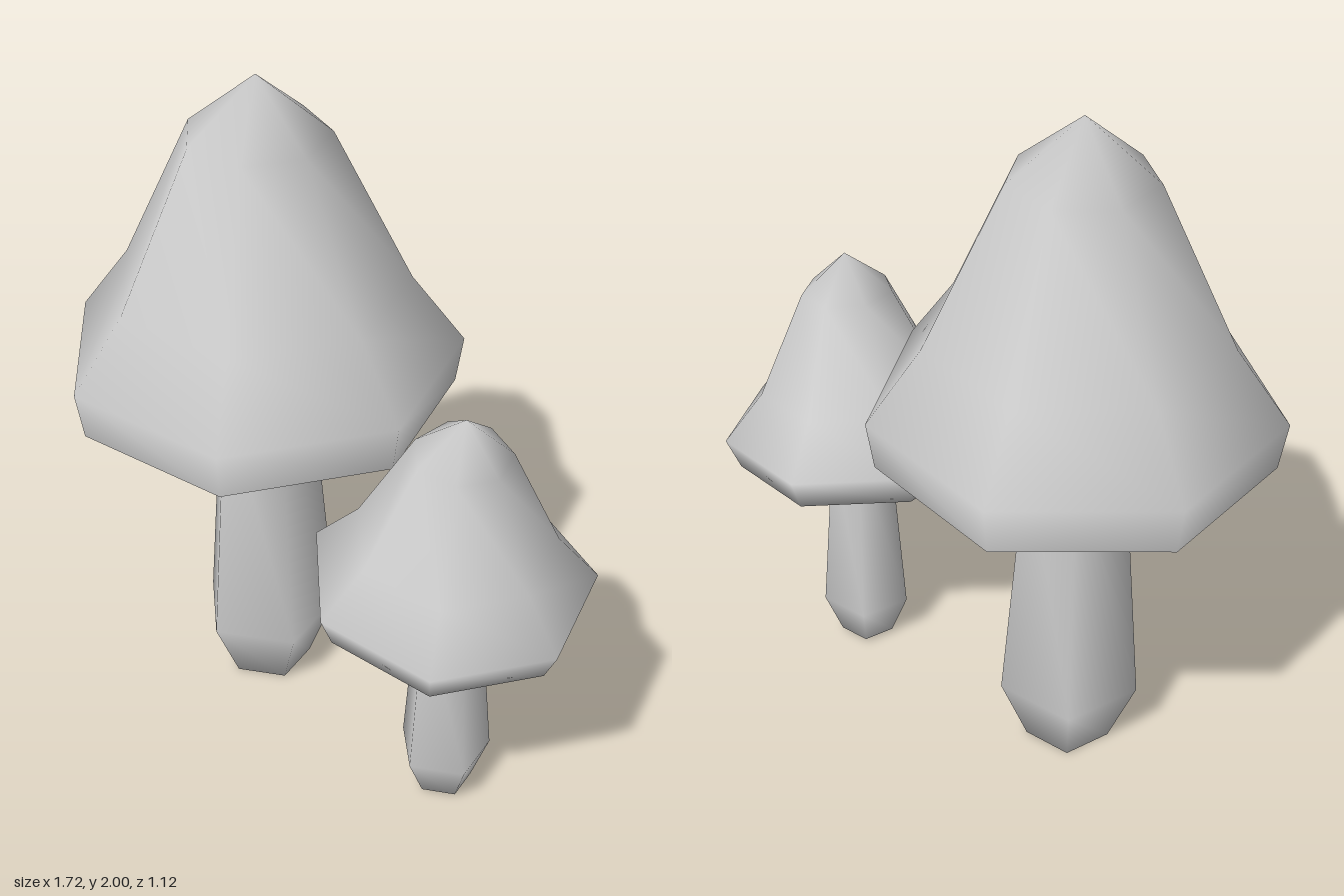
import * as THREE from 'three';
import { mergeVertices } from 'three/addons/utils/BufferGeometryUtils.js';

const deg = THREE.MathUtils.degToRad;
const CAP_TURN = deg(84.7);   // seven-sided caps
const STEM_TURN = deg(-5);    // five-sided stems

export function createModel() {
  const grey = new THREE.MeshStandardMaterial({ color: 0xcccccc });
  grey.name = 'pale grey';

  // Low-sided turned solid with smooth normals; profile is [radius, height], bottom to top
  function turned(name, profile, sides, turn) {
    const points = profile.map(([r, y]) => new THREE.Vector2(r, y));
    let geometry = new THREE.LatheGeometry(points, sides, turn);
    geometry.deleteAttribute('uv');
    geometry.deleteAttribute('normal');
    geometry = mergeVertices(geometry, 1e-4);
    geometry.computeVertexNormals();
    const mesh = new THREE.Mesh(geometry, grey);
    mesh.name = name;
    return mesh;
  }

  // Large mushroom: upright, with a hard edge around the flat underside
  const large = new THREE.Group();
  large.name = 'largeMushroom';
  large.position.set(-0.319, 0, 0.009);
  const largeStem = turned('largeStem',
    [[0, 0], [0.127, 0], [0.2085, 0.2], [0.14, 1.04], [0, 1.04]], 5, STEM_TURN);
  largeStem.position.x = -0.007;
  large.add(
    largeStem,
    turned('largeCap',
      [[0.556, 1.025], [0.578, 1.165], [0.425, 1.375], [0.206, 1.83], [0, 2]], 7, CAP_TURN),
    turned('largeCapUnderside', [[0, 1.025], [0.556, 1.025]], 7, CAP_TURN)
  );

  // Small mushroom: slightly leaning stem, tilted cap with a soft lower rim
  const small = new THREE.Group();
  small.name = 'smallMushroom';
  const smallStem = turned('smallStem',
    [[0, 0], [0.083, 0], [0.135, 0.13], [0.091, 0.7], [0, 0.7]], 5, STEM_TURN);
  smallStem.position.set(0.449, 0.012, 0.057);
  smallStem.rotation.set(deg(1.2), 0, deg(-0.8));
  const smallCap = turned('smallCap',
    [[0, 0], [0.367, 0], [0.404, 0.093], [0.282, 0.231], [0.135, 0.531], [0, 0.645]], 7, CAP_TURN);
  smallCap.position.set(0.453, 0.688, 0.062);
  smallCap.rotation.set(deg(2.2), 0, deg(-5));
  small.add(smallStem, smallCap);

  const model = new THREE.Group();
  model.name = 'mushrooms';
  model.add(large, small);
  return model;
}
